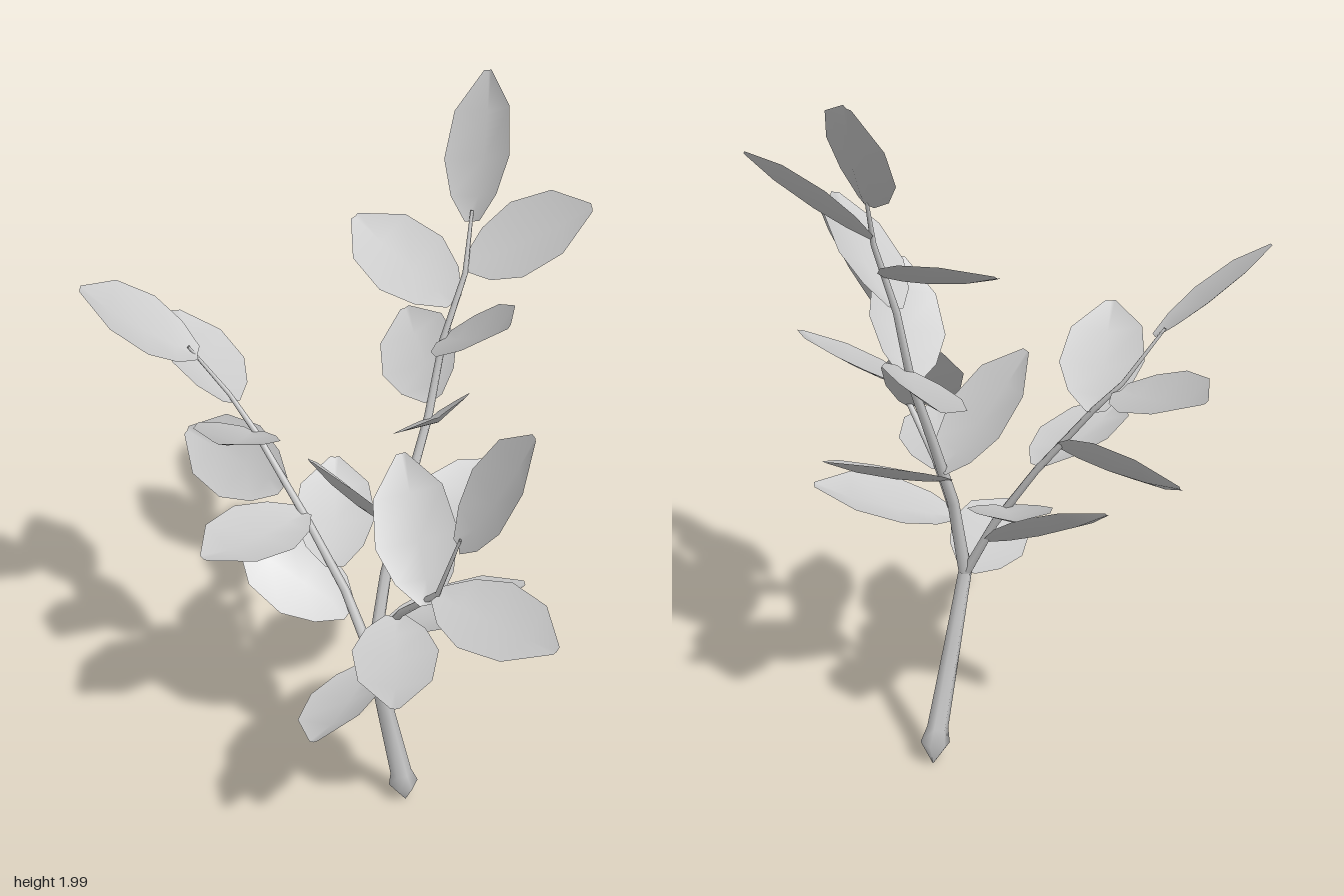
import * as THREE from 'three';

const V = (p) => new THREE.Vector3(...p);
const material = new THREE.MeshStandardMaterial({ color: 0xcccccc, side: THREE.DoubleSide });

function buildMesh(name, positions, index) {
  const geometry = new THREE.BufferGeometry();
  geometry.setAttribute('position', new THREE.Float32BufferAttribute(positions, 3));
  geometry.setIndex(index);
  geometry.computeVertexNormals();
  const mesh = new THREE.Mesh(geometry, material);
  mesh.name = name;
  return mesh;
}

// Tapered stem: a ring of points around each station [x, y, z, radius]
function stem(name, stations, sides = 6) {
  const positions = [], index = [];
  stations.forEach(([x, y, z, r], i) => {
    const a = V(stations[Math.max(i - 1, 0)].slice(0, 3));
    const b = V(stations[Math.min(i + 1, stations.length - 1)].slice(0, 3));
    const dir = b.sub(a).normalize();
    const u = new THREE.Vector3(0, 0, 1).cross(dir).normalize();
    const v = dir.clone().cross(u);
    for (let s = 0; s < sides; s++) {
      const angle = (s / sides) * Math.PI * 2;
      const p = V([x, y, z]).addScaledVector(u, Math.cos(angle) * r).addScaledVector(v, Math.sin(angle) * r);
      positions.push(p.x, p.y, p.z);
      if (i === 0) continue;
      const c = i * sides + s, d = i * sides + ((s + 1) % sides);
      index.push(c - sides, d - sides, d, c - sides, d, c);
    }
  });
  return buildMesh(name, positions, index);
}

// Leaf rows: [position along the leaf, half width]
const LEAF_ROWS = [[0, 0.025], [0.17, 0.075], [0.42, 0.107], [0.74, 0.09], [1, 0.012]];

// Slightly folded leaf from base to tip; up is the side it faces
function leaf(name, base, tip, up) {
  const start = V(base), axis = V(tip).sub(start);
  const side = axis.clone().cross(V(up)).normalize();
  const normal = side.clone().cross(axis).normalize();
  const positions = [], index = [];
  LEAF_ROWS.forEach(([t, w], i) => {
    for (const k of [-1, 0, 1]) {
      const p = start.clone().addScaledVector(axis, t)
        .addScaledVector(side, k * w)
        .addScaledVector(normal, k === 0 ? -w * 0.16 : w * 0.09);
      positions.push(p.x, p.y, p.z);
    }
    if (i === 0) return;
    for (let k = 0; k < 2; k++) {
      const a = (i - 1) * 3 + k, b = i * 3 + k;
      index.push(a, a + 1, b + 1, a, b + 1, b);
    }
  });
  return buildMesh(name, positions, index);
}

// Each entry: base, tip, facing direction
const LEAVES = {
  middleLeaf: [
    [[-0.05, 1.7, -0.32], [-0.2, 2.0, -0.48], [0.02, 0.47, 0.88]],
    [[-0.03, 1.6, -0.29], [0.2, 1.79, -0.48], [0.1, 0.7, 0.65]],
    [[-0.04, 1.41, -0.23], [0.27, 1.6, -0.17], [-0.6, 0.75, 0.3]],
    [[-0.04, 1.5, -0.26], [-0.4, 1.6, -0.22], [0.2, 0.9, 0.4]],
    [[-0.04, 1.24, -0.2], [-0.37, 1.3, -0.36], [-0.02, 0.85, 0.5]],
    [[-0.03, 1.2, -0.18], [0.23, 1.4, 0], [-0.65, 0.75, 0.1]],
    [[-0.01, 0.91, -0.07], [-0.06, 1.19, 0.17], [0, 0.66, -0.75]],
    [[0, 0.87, -0.04], [0.04, 1.02, -0.39], [0.25, 0.9, 0.35]],
  ],
  rightLeaf: [
    [[-0.34, 1.13, 0.15], [-0.13, 1.29, 0.39], [-0.25, 0.8, -0.45]],
    [[-0.24, 1, 0.13], [-0.6, 1.01, 0.19], [0.1, 0.69, 0.7]],
    [[-0.19, 0.94, 0.1], [-0.11, 0.99, 0.46], [0.12, 0.96, -0.17]],
    [[-0.1, 0.8, 0.07], [-0.36, 0.93, -0.12], [0.3, 0.9, 0.25]],
    [[-0.05, 0.68, 0.06], [-0.33, 0.82, 0.21], [0.55, 0.72, 0.33]],
    [[-0.39, 1.2, 0.18], [-0.72, 1.3, 0.13], [0.3, 0.9, -0.2]],
    [[-0.44, 1.34, 0.24], [-0.57, 1.55, 0.49], [0.5, 0.75, -0.37]],
  ],
  leftLeaf: [
    [[0.41, 1.16, 0.08], [0.53, 1.48, -0.04], [-0.25, 0.4, 0.87]],
    [[0.34, 0.98, 0.08], [0.72, 1.02, 0.03], [-0.05, 0.9, 0.4]],
    [[0.31, 0.93, 0.08], [0.06, 1.2, -0.02], [0.45, 0.6, 0.65]],
    [[0.16, 0.8, 0.07], [0.46, 0.81, 0.3], [-0.03, 1, 0]],
    [[0.08, 0.7, 0.06], [0.27, 0.82, -0.26], [-0.25, 0.9, 0.2]],
    [[0.03, 0.56, 0.05], [0.22, 0.58, 0.37], [-0.35, 0.93, 0.13]],
  ],
};

export function createModel() {
  const group = new THREE.Group();
  group.name = 'leafyTwig';

  // Main stem with a pointed, slightly swollen foot
  group.add(stem('mainStem', [
    [0.02, 0.01, -0.075, 0.001], [0.02, 0.075, -0.067, 0.04], [0.02, 0.12, -0.058, 0.029],
    [0.02, 0.35, -0.008, 0.023], [0.02, 0.57, 0.038, 0.018], [0.018, 0.62, 0.035, 0.01],
  ]));

  // Three branches thinning towards their last leaf
  group.add(stem('middleBranch', [
    [0.02, 0.56, 0.038, 0.017], [0, 0.8, -0.02, 0.015], [-0.02, 1, -0.1, 0.013], [-0.035, 1.2, -0.18, 0.011],
    [-0.045, 1.4, -0.23, 0.009], [-0.025, 1.58, -0.28, 0.007], [-0.065, 1.72, -0.33, 0.004],
  ]));
  group.add(stem('rightBranch', [
    [0.02, 0.56, 0.038, 0.015], [-0.07, 0.74, 0.06, 0.012], [-0.18, 0.92, 0.1, 0.01],
    [-0.33, 1.13, 0.15, 0.008], [-0.4, 1.22, 0.18, 0.006], [-0.455, 1.36, 0.26, 0.004],
  ]));
  group.add(stem('leftBranch', [
    [0.02, 0.56, 0.038, 0.015], [0.09, 0.7, 0.06, 0.012], [0.18, 0.82, 0.07, 0.01],
    [0.34, 0.98, 0.08, 0.007], [0.415, 1.18, 0.075, 0.004],
  ]));

  for (const [name, list] of Object.entries(LEAVES)) {
    list.forEach((entry, i) => group.add(leaf(`${name}${i + 1}`, ...entry)));
  }
  return group;
}
